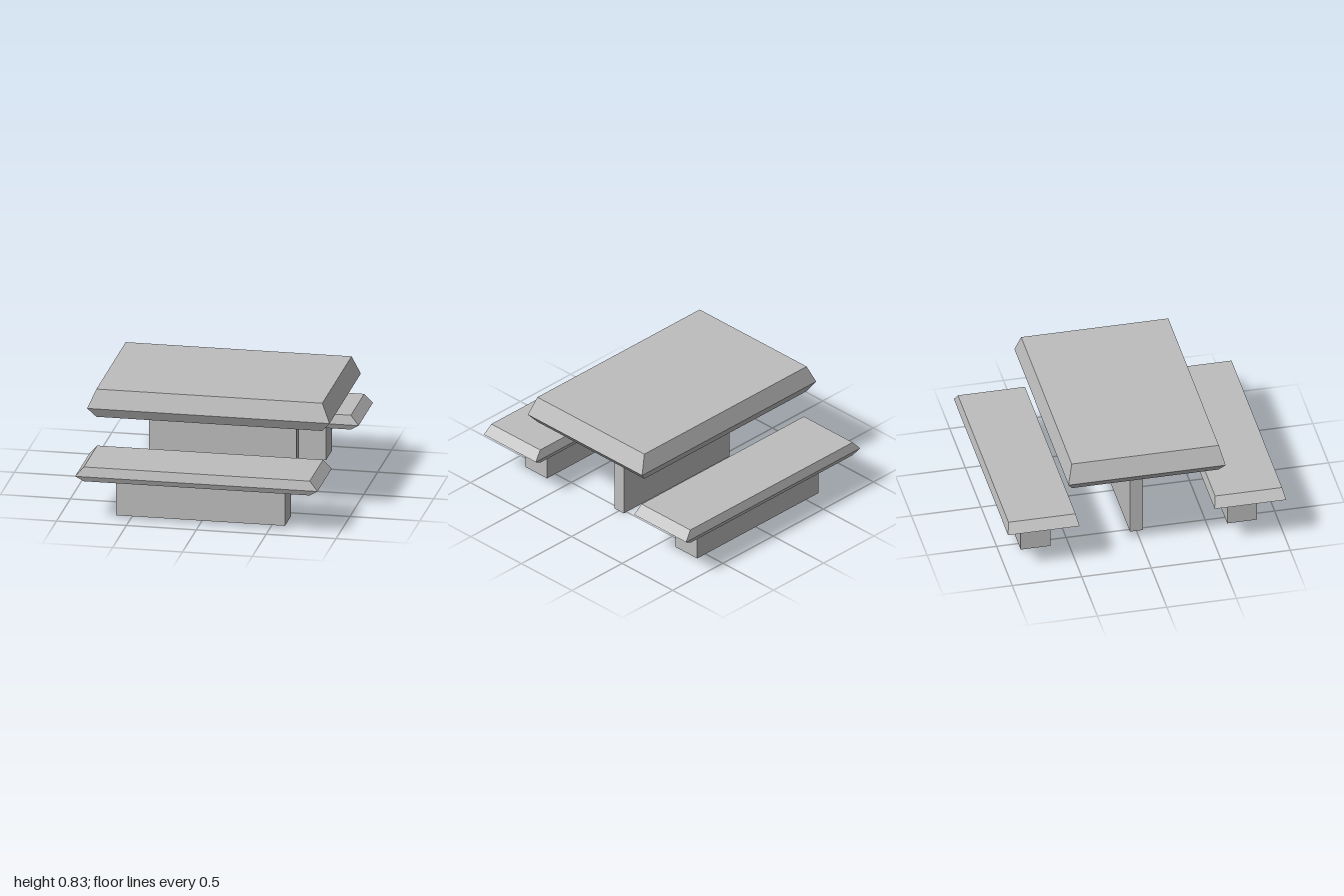
import * as THREE from 'three';

const stone = new THREE.MeshStandardMaterial({ color: 0xbdbdbd });
stone.name = 'grey stone';

// Slab with an outward ridge at height yMid and bevels above and below it
function slab(name, halfX, halfZ, insetX, insetZ, [yLow, yMid, yHigh], z = 0) {
  const box = new THREE.BoxGeometry(2, 2, 2, 1, 2, 1);
  const p = box.attributes.position;
  for (let i = 0; i < p.count; i++) {
    const level = Math.round(p.getY(i));
    const inset = Math.abs(level);
    p.setXYZ(
      i,
      p.getX(i) * (halfX - insetX * inset),
      [yLow, yMid, yHigh][level + 1],
      p.getZ(i) * (halfZ - insetZ * inset)
    );
  }
  const geometry = box.toNonIndexed();
  geometry.computeVertexNormals();
  const mesh = new THREE.Mesh(geometry, stone);
  mesh.name = name;
  mesh.position.z = z;
  return mesh;
}

// Plain upright block from yLow to yHigh
function block(name, width, depth, yLow, yHigh, z = 0) {
  const mesh = new THREE.Mesh(new THREE.BoxGeometry(width, yHigh - yLow, depth), stone);
  mesh.name = name;
  mesh.position.set(0, (yLow + yHigh) / 2, z);
  return mesh;
}

export function createModel() {
  const model = new THREE.Group();
  model.name = 'picnicTable';

  // Table
  const table = new THREE.Group();
  table.name = 'table';
  table.add(
    slab('tableTop', 0.867, 0.565, 0.059, 0.036, [0.63, 0.7, 0.835]),
    block('tablePedestal', 1.054, 0.094, 0, 0.63)
  );
  model.add(table);

  // Benches in front and behind
  for (const [side, name] of [[1, 'frontBench'], [-1, 'backBench']]) {
    const bench = new THREE.Group();
    bench.name = name;
    bench.add(
      slab('benchSeat', 0.867, 0.257, 0.059, 0.016, [0.302, 0.34, 0.408], side * 0.743),
      block('benchBase', 1.21, 0.215, 0.02, 0.302, side * 0.743)
    );
    model.add(bench);
  }
  return model;
}
